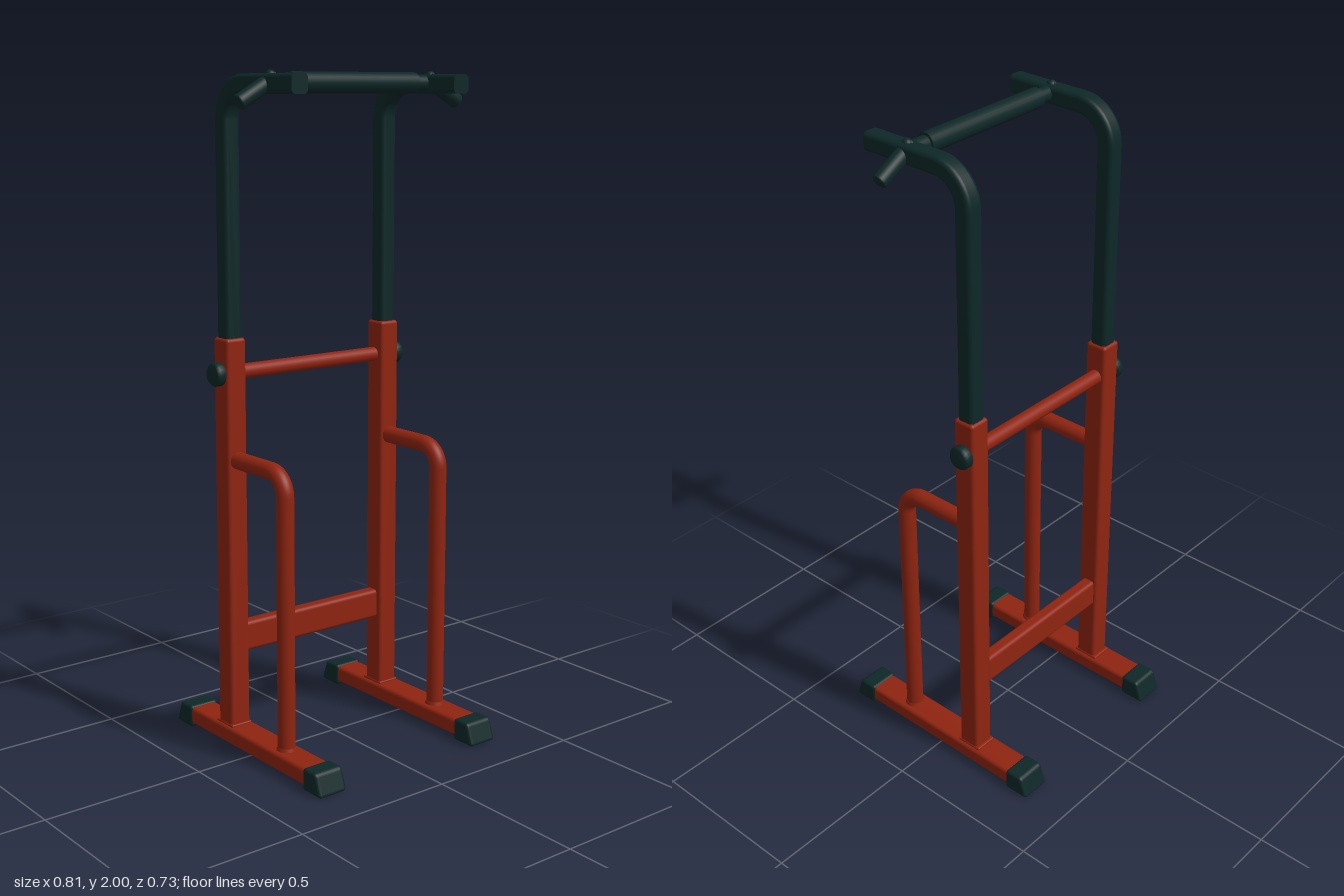
import * as THREE from 'three';
import { RoundedBoxGeometry } from 'three/addons/geometries/RoundedBoxGeometry.js';

const red = new THREE.MeshStandardMaterial({ color: 0x8f2410 });
red.name = 'red paint';
const dark = new THREE.MeshStandardMaterial({ color: 0x0e2727 });
dark.name = 'dark rubber';

const V = (x, y, z) => new THREE.Vector3(x, y, z);

function add(parent, name, geometry, material, x = 0, y = 0, z = 0) {
  const mesh = new THREE.Mesh(geometry, material);
  mesh.name = name;
  mesh.position.set(x, y, z);
  parent.add(mesh);
  return mesh;
}

const box = (w, h, d, r) => new RoundedBoxGeometry(w, h, d, 3, r);

// Horizontal cylinder along x
const rod = (r, length) => new THREE.CylinderGeometry(r, r, length, 24).rotateZ(Math.PI / 2);

// Square section with rounded corners
function roundedSquare(size, r) {
  const s = new THREE.Shape();
  const h = size / 2, c = h - r;
  [[c, c], [-c, c], [-c, -c], [c, -c]].forEach(([x, y], i) =>
    s.absarc(x, y, r, i * Math.PI / 2, (i + 1) * Math.PI / 2, false));
  s.closePath();
  return s;
}

// Path in the YZ plane: up, round one corner, then level; returned as sampled points
function bentPoints(zFrom, yFrom, yTop, zTo, r) {
  const dir = Math.sign(zTo - zFrom);
  const pts = [V(0, yFrom, zFrom)];
  for (let i = 0; i <= 10; i++) {
    const a = i / 10 * Math.PI / 2;
    pts.push(V(0, yTop - r + r * Math.sin(a), zFrom + dir * r * (1 - Math.cos(a))));
  }
  pts.push(V(0, yTop, zTo));
  return pts;
}

function polyPath(pts) {
  const path = new THREE.CurvePath();
  for (let i = 1; i < pts.length; i++) path.add(new THREE.LineCurve3(pts[i - 1], pts[i]));
  return path;
}

// Round or square tube swept through the points, one ring per point
function sweep(pts, outline) {
  const n = outline.length, pos = [], idx = [];
  pts.forEach((p, i) => {
    const t = pts[Math.min(i + 1, pts.length - 1)].clone().sub(pts[Math.max(i - 1, 0)]).normalize();
    // straight runs keep their exact direction at both ends of the bend
    if (i === 1) t.set(0, 1, 0);
    if (i === pts.length - 2) t.copy(pts[i + 1]).sub(p).normalize();
    const side = V(1, 0, 0), up = t.clone().cross(side);
    outline.forEach(o => {
      const q = p.clone().addScaledVector(side, o.x).addScaledVector(up, o.y);
      pos.push(q.x, q.y, q.z);
    });
  });
  for (let i = 0; i < pts.length - 1; i++) {
    for (let j = 0; j < n; j++) {
      const a = i * n + j, b = i * n + (j + 1) % n;
      idx.push(a, b, a + n, b, b + n, a + n);
    }
  }
  // flat caps with their own vertices
  [0, pts.length - 1].forEach((ring, k) => {
    const start = pos.length / 3;
    for (let j = 0; j < n * 3; j++) pos.push(pos[ring * n * 3 + j]);
    for (let j = 1; j < n - 1; j++) {
      if (k) idx.push(start, start + j, start + j + 1);
      else idx.push(start, start + j + 1, start + j);
    }
  });
  const g = new THREE.BufferGeometry();
  g.setAttribute('position', new THREE.Float32BufferAttribute(pos, 3));
  g.setIndex(idx);
  g.computeVertexNormals();
  return g;
}

// Foot cap whose outer end (+z) slopes inward to the top
function footGeometry() {
  const g = box(0.098, 0.068, 0.084, 0.01);
  const p = g.attributes.position;
  for (let i = 0; i < p.count; i++) {
    if (p.getZ(i) > 0) p.setZ(i, p.getZ(i) - 0.024 * (p.getY(i) / 0.068 + 0.5));
  }
  g.computeVertexNormals();
  return g;
}

function buildSide(s) {
  const side = new THREE.Group();
  side.name = s > 0 ? 'leftSide' : 'rightSide';
  const x = s * 0.289;

  // Base rail and its foot caps
  add(side, 'baseRail', box(0.09, 0.053, 0.66, 0.012), red, x, 0.037, 0);
  add(side, 'frontFoot', footGeometry(), dark, x, 0.034, 0.326);
  add(side, 'backFoot', footGeometry(), dark, x, 0.034, -0.328).rotation.y = Math.PI;

  // Upright post with a weld plate
  add(side, 'upright', box(0.068, 1.19, 0.07, 0.01), red, x, 0.65, -0.12);
  add(side, 'weldPlate', box(0.072, 0.01, 0.084, 0.004), red, x, 0.065, -0.122);

  // Dip handle: round tube bent back to the upright
  const circle = new THREE.Path().absarc(0, 0, 0.026, 0, Math.PI * 2, false).getPoints(20).slice(0, -1);
  add(side, 'dipHandle', sweep(bentPoints(0.145, 0.05, 0.885, -0.1, 0.065), circle), red, x);
  add(side, 'handleWeld', new THREE.CylinderGeometry(0.027, 0.031, 0.012, 24), red, x, 0.067, 0.145);

  // Sliding mast: rounded square tube bent forward
  const square = roundedSquare(0.055, 0.014).getPoints(5)
    .filter((p, i, a) => p.distanceTo(a[(i + 1) % a.length]) > 1e-5);
  add(side, 'mast', sweep(bentPoints(-0.12, 1.2, 1.963, 0.222, 0.1), square), dark, x);

  // Locking knob
  const knob = new THREE.LatheGeometry([
    [0, -0.016], [0.03, -0.016], [0.035, -0.011], [0.035, 0.008], [0.028, 0.016], [0, 0.016],
  ].map(([r, y]) => new THREE.Vector2(r, y)), 24);
  add(side, 'lockingKnob', knob, dark, s * 0.335, 1.14, -0.123).rotation.z = -s * Math.PI / 2;

  // Angled outer grip, sloping down and outward
  const a = V(s * 0.275, 1.978, 0.09), b = V(s * 0.395, 1.912, 0.09);
  const grip = add(side, 'angledGrip', new THREE.CapsuleGeometry(0.0225, 0.02, 4, 20), dark);
  grip.geometry.dispose();
  const len = a.distanceTo(b);
  grip.geometry = new THREE.LatheGeometry([
    [0, -len / 2], [0.0225, -len / 2], [0.0225, len / 2 - 0.004], [0.0185, len / 2], [0, len / 2],
  ].map(([r, y]) => new THREE.Vector2(r, y)), 24);
  grip.position.copy(a).lerp(b, 0.5);
  grip.quaternion.setFromUnitVectors(V(0, 1, 0), b.clone().sub(a).normalize());

  // Bolt head on top of the mast
  add(side, 'bolt', new THREE.SphereGeometry(0.016, 20, 12), dark, s * 0.288, 1.984, 0.09);
  return side;
}

export function createModel() {
  const model = new THREE.Group();
  model.name = 'pullUpStation';
  for (const s of [1, -1]) model.add(buildSide(s));

  // Cross members
  add(model, 'upperCrossbar', rod(0.022, 0.54), red, 0, 1.14, -0.124);
  add(model, 'lowerCrossbar', box(0.53, 0.092, 0.044, 0.012), red, 0, 0.33, -0.124);

  // Pull-up bar and padded grip
  add(model, 'pullUpBar', rod(0.0225, 0.56), dark, 0, 1.966, 0.09);
  add(model, 'paddedGrip', rod(0.03, 0.446), dark, 0, 1.966, 0.09);
  return model;
}
